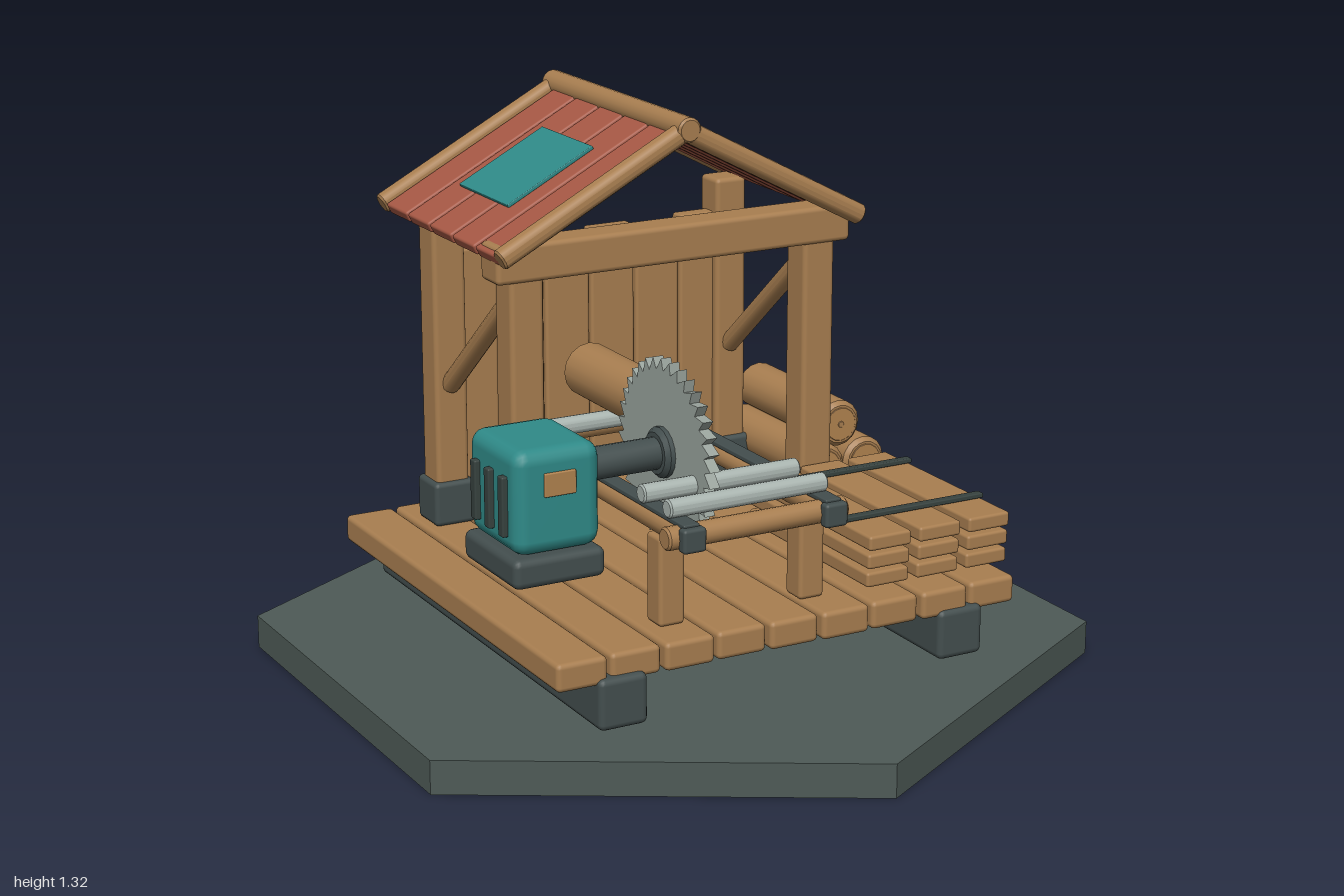
import * as THREE from 'three';
import { toCreasedNormals } from 'three/addons/utils/BufferGeometryUtils.js';
import { RoundedBoxGeometry } from 'three/addons/geometries/RoundedBoxGeometry.js';

const mat = (name, color) => {
  const m = new THREE.MeshStandardMaterial({ color });
  m.name = name;
  return m;
};

export function createModel() {
  const root = new THREE.Group();
  root.name = 'sawmill';
  const wood = mat('wood', 0xa87e50);
  const endWood = mat('cut wood', 0xb0824f);
  const roofRed = mat('roof red', 0xa65844);
  const teal = mat('teal paint', 0x2f8a88);
  const stone = mat('base slate', 0x4e5a56);
  const iron = mat('dark iron', 0x434e4e);
  const strapDark = mat('strap black', 0x37423f);
  const steel = mat('steel', 0x9aa49d);
  const chrome = mat('roller steel', 0xaab5b0);

  const group = (name) => {
    const g = new THREE.Group();
    g.name = name;
    root.add(g);
    return g;
  };
  const add = (parent, name, geo, material, x = 0, y = 0, z = 0) => {
    const m = new THREE.Mesh(geo, material);
    m.name = name;
    m.position.set(x, y, z);
    parent.add(m);
    return m;
  };
  // Softly bevelled box given by centre and size
  const box = (parent, name, material, [x, y, z], [w, h, d], r = 0.01) =>
    add(parent, name, new RoundedBoxGeometry(w, h, d, 2, Math.min(r, w / 2.1, h / 2.1, d / 2.1)), material, x, y, z);
  // Chamfered round bar between two points
  const bar = (parent, name, material, a, b, r, c = r * 0.18) => {
    const p = new THREE.Vector3(...a), q = new THREE.Vector3(...b);
    const h = p.distanceTo(q) / 2;
    const pts = [[0, -h], [r - c, -h], [r, -h + c], [r, h - c], [r - c, h], [0, h]];
    const geo = toCreasedNormals(new THREE.LatheGeometry(pts.map(([u, v]) => new THREE.Vector2(u, v)), 16), 0.6);
    const m = add(parent, name, geo, material);
    m.position.copy(p).add(q).multiplyScalar(0.5);
    m.quaternion.setFromUnitVectors(new THREE.Vector3(0, 1, 0), q.sub(p).normalize());
    return m;
  };
  // Log along z with thin heartwood discs on its cut ends
  const log = (parent, x, y, z0, z1, r) => {
    bar(parent, 'log', wood, [x, y, z0], [x, y, z1], r);
    for (const [z, s] of [[z0, -1], [z1, 1]]) {
      bar(parent, 'logEnd', endWood, [x, y, z - s * 0.002], [x, y, z + s * 0.003], r * 0.72, 0.001);
      bar(parent, 'logHeart', wood, [x, y, z], [x, y, z + s * 0.005], r * 0.14, 0.001);
    }
  };

  // Hexagonal ground slab
  add(root, 'base', toCreasedNormals(new THREE.CylinderGeometry(1, 1, 0.08, 6), 0.3), stone, 0, 0.04, 0);

  // Skids and deck
  const deck = group('deck');
  for (const s of [-1, 1]) box(deck, 'skid', iron, [s * 0.44, 0.16, 0], [0.12, 0.12, 1.18], 0.015);
  for (let i = -4; i <= 4; i++)
    box(deck, 'deckPlank', wood, [i * 0.1335, 0.237, -0.002 + (i % 2) * 0.004], [0.124, 0.066, 1.155], 0.012);

  // Posts with boots, bolts and diagonal braces
  const frame = group('frame');
  for (const s of [-1, 1]) {
    for (const [z, top] of [[-0.012, 1.0], [-0.432, 1.05]]) {
      box(frame, 'post', wood, [s * 0.388, (0.27 + top) / 2, z], [0.085, top - 0.27, 0.085], 0.012);
      box(frame, 'postBoot', iron, [s * 0.388, 0.325, z], [0.108, 0.11, 0.108], 0.012);
    }
    bar(frame, 'bootBolt', endWood, [s * 0.388, 0.325, 0.03], [s * 0.388, 0.325, 0.052], 0.022);
    bar(frame, 'brace', wood, [s * 0.388, 0.925, -0.04], [s * 0.388, 0.62, -0.4], 0.024);
  }
  box(frame, 'frontBeam', wood, [0, 1.017, -0.005], [0.935, 0.09, 0.09], 0.012);

  // Back wall boards with uneven tops
  const wall = group('backWall');
  [0.95, 0.965, 0.945, 0.96, 0.95, 0.965].forEach((top, i) =>
    box(wall, 'wallBoard', wood, [(i - 2.5) * 0.125, (0.31 + top) / 2, -0.432], [0.12, top - 0.31, 0.045], 0.008));

  // Roof: boards down each slope, rafters and ridge pole
  const roof = group('roof');
  const rise = 0.25, run = 0.475, angle = Math.atan2(rise, run), slope = Math.hypot(rise, run);
  for (const s of [-1, 1]) {
    const side = new THREE.Group();
    side.name = s < 0 ? 'rightSlope' : 'leftSlope';
    side.position.set(s * run / 2, 1.29 - rise / 2, -0.245);
    side.rotation.z = -s * angle;
    roof.add(side);
    for (let i = -2; i <= 2; i++)
      box(side, 'roofBoard', roofRed, [0, -0.006, i * 0.124], [slope, 0.028, 0.115], 0.006);
    if (s < 0) box(side, 'roofPatch', teal, [-0.008, 0.012, -0.005], [0.25, 0.009, 0.26], 0.002);
    for (const z of [0.068, -0.582])
      bar(roof, 'rafter', wood, [0, 1.29, z], [s * 0.475, 1.04, z], 0.025);
  }
  bar(roof, 'ridgePole', wood, [0, 1.293, 0.093], [0, 1.293, -0.607], 0.03);

  // Saw table: rails, legs, front bar and rollers
  const table = group('sawTable');
  for (const x of [-0.262, 0.1]) {
    bar(table, 'rail', wood, [x, 0.5, 0.575], [x, 0.5, -0.32], 0.027);
    box(table, 'railStrip', iron, [x, 0.528, 0.125], [0.04, 0.012, 0.89], 0.003);
    for (const z of [0.572, -0.317]) box(table, 'railCap', iron, [x, 0.5, z], [0.058, 0.056, 0.03], 0.008);
    for (const z of [0.45, -0.19]) box(table, 'tableLeg', wood, [x, 0.375, z], [0.065, 0.21, 0.065], 0.01);
  }
  bar(table, 'crossBar', wood, [-0.315, 0.5, 0.54], [0.145, 0.5, 0.54], 0.027);
  bar(table, 'crossBar', wood, [-0.315, 0.5, -0.285], [0.145, 0.5, -0.285], 0.027);
  for (const z of [0.5, 0.38, -0.16])
    bar(table, 'roller', chrome, [-0.287, 0.553, z], [0.117, 0.553, z], 0.022);
  log(table, -0.035, 0.622, -0.365, 0.045, 0.068);

  // Toothed circular blade in the yz plane
  const saw = group('saw');
  const shape = new THREE.Shape();
  const teeth = 36;
  for (let i = 0; i < teeth; i++) {
    const a = (i / teeth) * Math.PI * 2, b = a + (Math.PI * 2 / teeth) * 0.75;
    shape[i ? 'lineTo' : 'moveTo'](Math.cos(a) * 0.19, Math.sin(a) * 0.19);
    shape.lineTo(Math.cos(b) * 0.218, Math.sin(b) * 0.218);
  }
  shape.closePath();
  const bladeGeo = new THREE.ExtrudeGeometry(shape, { depth: 0.026, bevelEnabled: false });
  bladeGeo.translate(0, 0, -0.013).rotateY(Math.PI / 2);
  add(saw, 'blade', bladeGeo, steel, -0.14, 0.592, 0.24);
  bar(saw, 'bladeFlange', iron, [-0.175, 0.592, 0.24], [-0.105, 0.592, 0.24], 0.06);
  bar(saw, 'arborNut', strapDark, [-0.11, 0.592, 0.24], [-0.085, 0.592, 0.24], 0.033);
  bar(saw, 'axle', iron, [-0.37, 0.592, 0.24], [-0.16, 0.592, 0.24], 0.038);

  // Engine on its plinth, with front plate and side vents
  const engine = group('engine');
  box(engine, 'engineBody', teal, [-0.462, 0.55, 0.205], [0.215, 0.245, 0.25], 0.035);
  box(engine, 'enginePlinth', iron, [-0.465, 0.393, 0.205], [0.228, 0.07, 0.27], 0.018);
  box(engine, 'enginePlate', endWood, [-0.462, 0.592, 0.332], [0.078, 0.055, 0.009], 0.003);
  for (const z of [0.135, 0.205, 0.275])
    box(engine, 'engineVent', strapDark, [-0.574, 0.54, z], [0.018, 0.14, 0.025], 0.004);

  // Strapped stack of sawn boards
  const stack = group('boardStack');
  for (let layer = 0; layer < 3; layer++)
    for (let i = 0; i < 3; i++)
      box(stack, 'sawnBoard', wood,
        [0.258 + i * 0.135 + (layer - 1) * 0.003, 0.319 + layer * 0.043, 0.295], [0.112, 0.035, 0.53], 0.007);
  for (const z of [0.135, 0.44]) box(stack, 'strap', strapDark, [0.393, 0.43, z], [0.39, 0.012, 0.022], 0.003);

  // Log pile
  const pile = group('logPile');
  for (const [x, y, z] of [[0.487, 0.362, 0.003], [0.606, 0.362, 0], [0.535, 0.465, -0.005]])
    log(pile, x, y, -0.505 + z, -0.093 + z, 0.059);

  return root;
}
